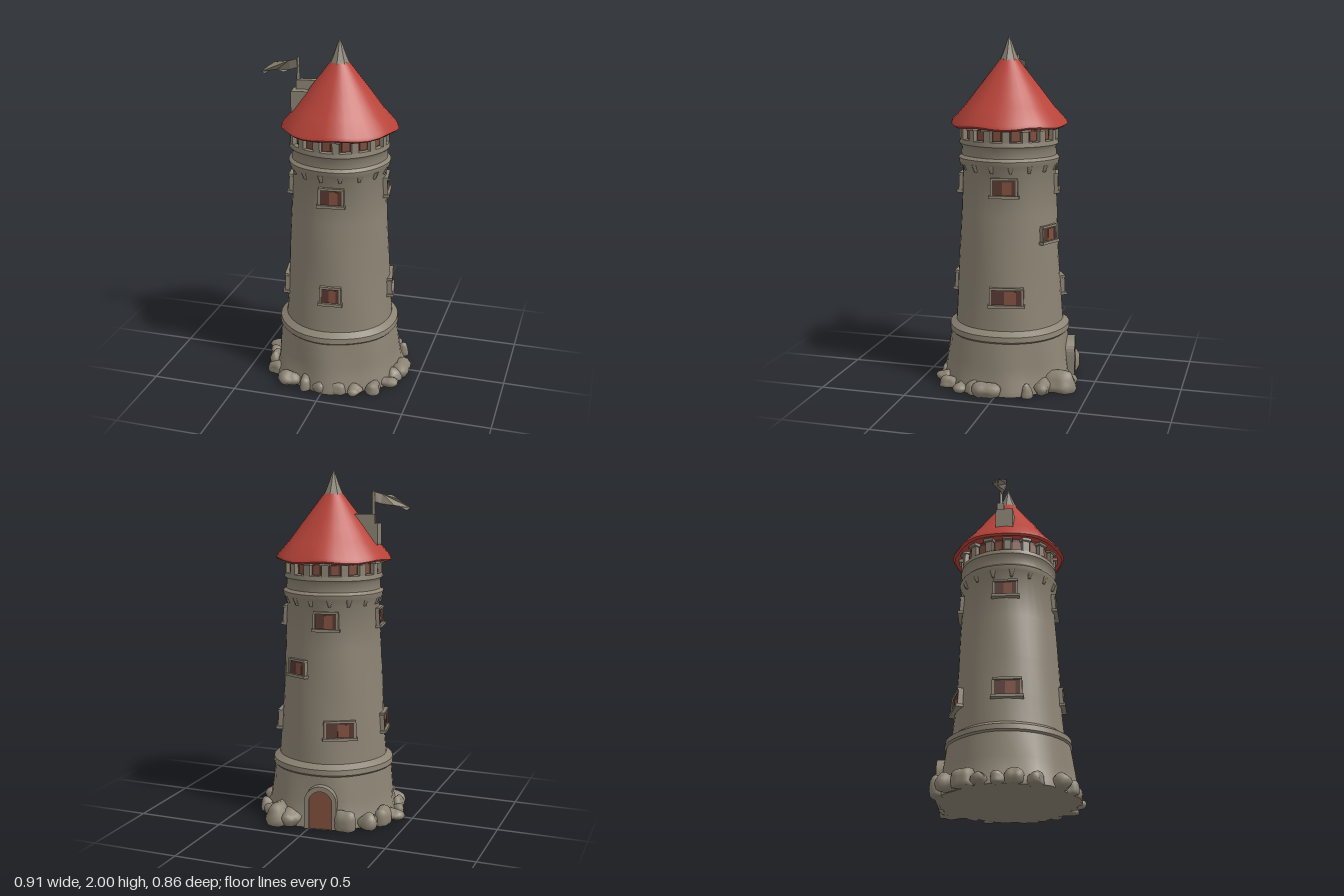
import * as THREE from 'three';
import { toCreasedNormals, mergeVertices } from 'three/addons/utils/BufferGeometryUtils.js';

const stone = new THREE.MeshStandardMaterial({ color: 0x8c8373 });
const roofRed = new THREE.MeshStandardMaterial({ color: 0xb9443a });
const wood = new THREE.MeshStandardMaterial({ color: 0x7f4e3d });
const darkWood = new THREE.MeshStandardMaterial({ color: 0x553730 });
stone.name = 'stone';
roofRed.name = 'roof red';
wood.name = 'wood';
darkWood.name = 'dark wood';

function add(parent, name, geometry, material, x = 0, y = 0, z = 0) {
  const mesh = new THREE.Mesh(geometry, material);
  mesh.name = name;
  mesh.position.set(x, y, z);
  parent.add(mesh);
  return mesh;
}

// Move every vertex by a rule that depends only on its position
function warp(geometry, rule) {
  const p = geometry.attributes.position, v = new THREE.Vector3();
  for (let i = 0; i < p.count; i++) {
    rule(v.fromBufferAttribute(p, i));
    p.setXYZ(i, v.x, v.y, v.z);
  }
  geometry.computeVertexNormals();
  return geometry;
}

function turned(points, sides, rule = () => {}) {
  const geo = new THREE.LatheGeometry(points.map(([r, y]) => new THREE.Vector2(r, y)), sides);
  return toCreasedNormals(warp(geo, rule), 0.7);
}

// Group on the wall whose +z points outward; angle in degrees from the back towards +x
function onWall(parent, name, degrees, radius, y) {
  const group = new THREE.Group(), a = THREE.MathUtils.degToRad(degrees);
  group.name = name;
  group.position.set(Math.sin(a) * radius, y, -Math.cos(a) * radius);
  group.rotation.y = Math.PI - a;
  parent.add(group);
  return group;
}

const wallRadius = (y) => 0.31 - (y - 0.36) * 0.051;

function addWindow(parent, degrees, y, w, h) {
  const g = onWall(parent, 'window', degrees, wallRadius(y), y);
  g.rotation.order = 'YXZ';
  g.rotation.x = -0.05;
  add(g, 'windowPane', new THREE.BoxGeometry(w, h, 0.008), darkWood, 0, 0, 0.003);
  add(g, 'shutter', new THREE.BoxGeometry(w * 0.4, h * 0.85, 0.006), wood, w * 0.12, -0.003, 0.006);
  add(g, 'sill', new THREE.BoxGeometry(w + 0.04, 0.016, 0.045), stone, 0, -h / 2 - 0.008, 0);
  add(g, 'lintel', new THREE.BoxGeometry(w + 0.02, 0.013, 0.035), stone, 0, h / 2 + 0.006, 0);
  for (const s of [-1, 1]) {
    add(g, 'jamb', new THREE.BoxGeometry(0.012, h, 0.03), stone, s * (w / 2 + 0.006), 0, -0.002);
  }
}

function arch(Type, w, h) {
  const s = new Type();
  s.moveTo(-w, 0);
  s.lineTo(w, 0);
  s.lineTo(w, h - w);
  s.absarc(0, h - w, w, 0, Math.PI, false);
  s.lineTo(-w, 0);
  return s;
}

function addRock(parent, x, z, size, height, seed) {
  let geo = new THREE.IcosahedronGeometry(1, 2);
  geo.deleteAttribute('normal');
  geo.deleteAttribute('uv');
  geo = mergeVertices(geo);
  warp(geo, (v) => {
    const k = 1 + 0.16 * Math.sin(3.1 * v.x + seed) + 0.14 * Math.sin(3.7 * v.z + seed * 2.3)
      + 0.1 * Math.sin(4.3 * v.y + seed * 1.7);
    v.multiplyScalar(k);
    v.set(v.x * size, Math.max(0, height * 0.35 + v.y * height * 0.6), v.z * size);
  });
  add(parent, 'rock', geo, stone, x, 0, z);
}

export function createModel() {
  const model = new THREE.Group();
  model.name = 'tower';
  const tower = new THREE.Group();
  tower.name = 'towerBody';
  tower.position.z = 0.02;
  model.add(tower);

  // Tapered wall with a flared foot and two ledges
  add(tower, 'wall', turned([
    [0, 0], [0.385, 0], [0.383, 0.03], [0.367, 0.075], [0.358, 0.16], [0.343, 0.295],
    [0.353, 0.305], [0.35, 0.335], [0.314, 0.36], [0.302, 0.52], [0.29, 0.75], [0.278, 1.0],
    [0.265, 1.25], [0.285, 1.285], [0.29, 1.315], [0.272, 1.33], [0.27, 1.375],
    [0.284, 1.395], [0.28, 1.42], [0.25, 1.425], [0.25, 1.5], [0, 1.5],
  ], 40, (v) => {
    const a = Math.atan2(v.x, v.z), low = Math.max(0, 1 - v.y / 0.32);
    const k = 1 + 0.008 * Math.sin(5 * a + 9 * v.y) + low * 0.035 * Math.sin(7 * a + 1);
    v.x *= k;
    v.z *= k;
  }), stone);

  // Small corbels under the upper ledge
  for (let i = 0; i < 16; i++) {
    const g = onWall(tower, 'corbel', i * 22.5 + 6, 0.27, 1.268);
    add(g, 'corbelBlock', new THREE.CylinderGeometry(0.022, 0.008, 0.04, 4, 1), stone).rotation.y = Math.PI / 4;
  }

  // Open gallery beneath the roof
  add(tower, 'galleryOpenings', new THREE.CylinderGeometry(0.258, 0.258, 0.08, 32, 1, true), darkWood, 0, 1.462, 0);
  for (let i = 0; i < 16; i++) {
    const g = onWall(tower, 'galleryPost', i * 22.5 + 11, 0.266, 1.462);
    add(g, 'post', new THREE.BoxGeometry(0.04, 0.085, 0.03), stone);
    add(g, 'postHead', new THREE.BoxGeometry(0.058, 0.022, 0.05), stone, 0, 0.03, 0.004);
    const pane = onWall(tower, 'galleryPane', i * 22.5 + 22, 0.257, 1.455);
    add(pane, 'pane', new THREE.BoxGeometry(0.04, 0.05, 0.008), wood);
  }

  // Conical roof with an uneven rim, and a stone spire
  add(tower, 'roof', turned([
    [0, 1.5], [0.25, 1.5], [0.318, 1.492], [0.33, 1.502], [0.323, 1.52], [0.25, 1.603],
    [0.19, 1.685], [0.125, 1.77], [0.052, 1.865], [0, 1.87],
  ], 32, (v) => {
    const a = Math.atan2(v.x, v.z), rim = Math.hypot(v.x, v.z) / 0.33;
    v.y += 0.006 * rim * rim * Math.sin(6 * a + 0.5);
    const k = 1 + 0.012 * Math.sin(8 * a) * rim;
    v.x *= k;
    v.z *= k;
  }), roofRed);
  add(tower, 'spire', turned([[0, 1.855], [0.058, 1.858], [0.037, 1.905], [0.016, 1.96], [0, 2]], 8), stone);

  // Windows: angle, height, width, opening height
  for (const [angle, y, w, h] of [
    [174, 1.165, 0.12, 0.085], [81, 1.17, 0.13, 0.085], [-12, 1.17, 0.12, 0.085], [-99, 1.17, 0.12, 0.085],
    [174, 0.585, 0.10, 0.085], [78, 0.555, 0.17, 0.085], [-28, 0.555, 0.16, 0.085], [-101, 0.555, 0.14, 0.09],
    [24, 0.895, 0.11, 0.075],
  ]) addWindow(tower, angle, y, w, h);

  // Arched door at the back
  const door = onWall(tower, 'door', -10, 0.36, 0);
  const frame = arch(THREE.Shape, 0.092, 0.25);
  frame.holes.push(arch(THREE.Path, 0.066, 0.222));
  add(door, 'doorFrame', new THREE.ExtrudeGeometry(frame, { depth: 0.075, bevelEnabled: false, curveSegments: 8 }), stone, 0, 0, -0.045);
  add(door, 'doorPanel', new THREE.ExtrudeGeometry(arch(THREE.Shape, 0.068, 0.224),
    { depth: 0.008, bevelEnabled: false, curveSegments: 8 }), wood, 0, 0, 0.012);

  // Rubble around the foot: x, z, size, height
  [
    [0.11, -0.35, 0.06, 0.1], [0.2, -0.32, 0.085, 0.12], [0.26, -0.24, 0.06, 0.09], [0.345, -0.18, 0.035, 0.08],
    [0.39, 0.05, 0.065, 0.09], [0.37, 0.14, 0.045, 0.07], [0.345, 0.21, 0.05, 0.06], [0.28, 0.3, 0.05, 0.06],
    [0.19, 0.36, 0.045, 0.06], [0.09, 0.38, 0.04, 0.07], [-0.02, 0.385, 0.035, 0.07], [-0.1, 0.37, 0.045, 0.08],
    [-0.21, 0.355, 0.055, 0.09], [-0.33, 0.23, 0.05, 0.07], [-0.37, 0.13, 0.04, 0.09], [-0.39, 0.05, 0.04, 0.06],
    [-0.4, -0.05, 0.05, 0.07], [-0.37, -0.14, 0.055, 0.1], [-0.31, -0.24, 0.055, 0.1], [-0.2, -0.325, 0.055, 0.12],
  ].forEach(([x, z, size, h], i) => addRock(model, x, z, size, h, i * 1.9));

  // Dormer chimney set into the roof
  const chimney = new THREE.Group();
  chimney.name = 'chimney';
  model.add(chimney);
  add(chimney, 'chimneyBlock', new THREE.BoxGeometry(0.1, 0.14, 0.1), stone, -0.215, 1.63, 0.05).rotation.y = 0.1;
  add(chimney, 'chimneyRidge', new THREE.BoxGeometry(0.12, 0.055, 0.04), stone, -0.19, 1.725, 0.02).rotation.y = 0.15;

  // Flagpole and waving pennant
  add(model, 'flagPole', new THREE.CylinderGeometry(0.008, 0.011, 0.19, 6), stone, -0.237, 1.785, 0.03);
  const cloth = new THREE.Shape();
  cloth.moveTo(-0.237, 1.875);
  [[-0.28, 1.862], [-0.33, 1.858], [-0.38, 1.84], [-0.41, 1.82], [-0.445, 1.79], [-0.43, 1.775],
    [-0.4, 1.795], [-0.36, 1.802], [-0.31, 1.796], [-0.275, 1.81], [-0.237, 1.822]].forEach(([x, y]) => cloth.lineTo(x, y));
  const pennant = new THREE.ExtrudeGeometry(cloth, { depth: 0.012, bevelEnabled: false });
  add(model, 'pennant', warp(pennant, (v) => {
    v.z += 0.045 - 0.028 * Math.cos((v.x + 0.237) * 42) * Math.min(1, (-0.2 - v.x) * 8) + (v.y - 1.83) * 0.3;
  }), stone);

  return model;
}
